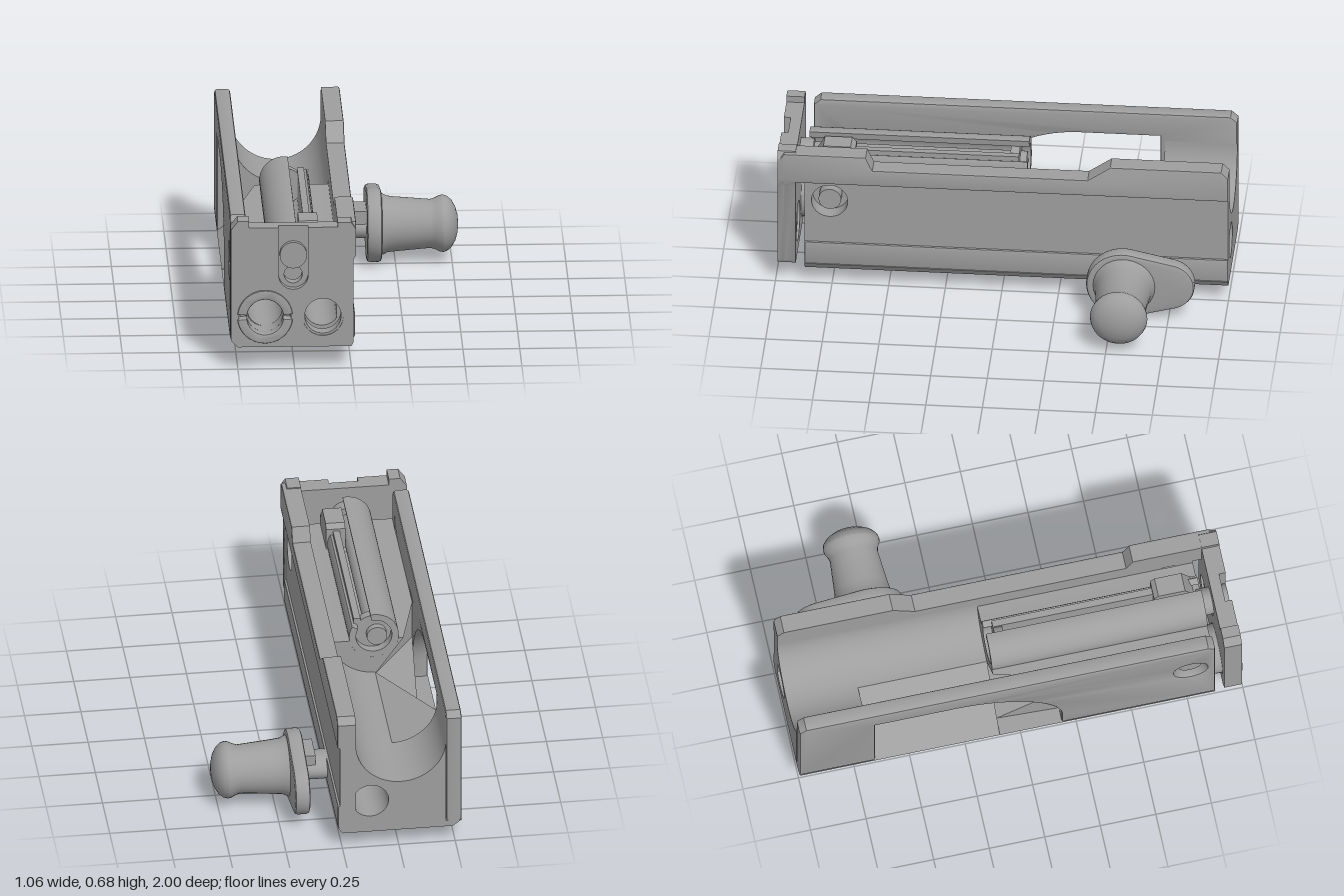
import * as THREE from 'three';
import { toCreasedNormals } from 'three/addons/utils/BufferGeometryUtils.js';

export function createModel() {
  const model = new THREE.Group();
  const grey = new THREE.MeshStandardMaterial({ color: 0x9e9e9e });
  grey.name = 'steel grey';

  const add = (name, geo) => {
    const mesh = new THREE.Mesh(toCreasedNormals(geo, 0.5), grey);
    mesh.name = name;
    model.add(mesh);
    return mesh;
  };
  const outline = (pts) => new THREE.Shape(pts.map((p) => new THREE.Vector2(p[0], p[1])));
  const circle = (x, y, r) => new THREE.Path().absarc(x, y, r, 0, Math.PI * 2, false);
  const extrude = (shape, from, to, bevel = 0) => {
    const geo = new THREE.ExtrudeGeometry(shape, {
      depth: to - from - 2 * bevel, curveSegments: 20, bevelEnabled: bevel > 0,
      bevelSize: bevel, bevelThickness: bevel, bevelOffset: -bevel, bevelSegments: 2,
    });
    return geo.translate(0, 0, from + bevel);
  };
  // section: drawn in x,y and run along z
  const section = (name, shape, z0, z1, bevel) => add(name, extrude(shape, z0, z1, bevel));
  // plate: drawn in z,y and given thickness along x
  const plate = (name, shape, x0, x1, bevel) =>
    add(name, extrude(shape, -x1, -x0, bevel).rotateY(-Math.PI / 2));
  const box = (name, x0, x1, y0, y1, z0, z1) => add(name,
    new THREE.BoxGeometry(x1 - x0, y1 - y0, z1 - z0)
      .translate((x0 + x1) / 2, (y0 + y1) / 2, (z0 + z1) / 2));
  const rod = (name, x, y, r, z0, z1) => add(name,
    new THREE.CylinderGeometry(r, r, z1 - z0, 32).rotateX(Math.PI / 2).translate(x, y, (z0 + z1) / 2));

  // Chamfered floor of the housing
  section('base', outline([[-0.49, 0.08], [0, 0.08], [0.02, 0.11], [-0.53, 0.11]]), -1, 0.87);

  // Rear trough
  const rear = outline([[-0.46, 0.11], [-0.06, 0.11], [-0.06, 0.53]]);
  rear.absarc(-0.26, 0.53, 0.2, 0, -Math.PI, true);
  rear.holes.push(circle(-0.125, 0.24, 0.08));
  section('rearTrough', rear, -1, -0.68);

  // Half trough with a ramp down to the side port
  const port = outline([[-0.53, 0.11], [-0.06, 0.11], [-0.06, 0.53]]);
  port.absarc(-0.26, 0.53, 0.2, 0, -Math.PI / 2, true);
  section('portRamp', port, -0.68, -0.1);

  // Cradle under the tube; the lower side sweeps in toward the port
  const cradle = (left) => {
    const s = outline([[left[2], 0.11], [-0.06, 0.11], [-0.06, 0.5], [-0.145, 0.5]]);
    s.absarc(-0.255, 0.52, 0.11, -0.18, -Math.PI + 0.18, true);
    s.lineTo(left[0], 0.5);
    s.lineTo(left[1], 0.32);
    return s;
  };
  const sweep = extrude(cradle([-0.385, -0.26, -0.45]), -0.1, 0.18);
  const pos = sweep.attributes.position;
  for (let i = 0; i < pos.count; i++) {
    const onLeft = pos.getX(i) < -0.37 || (pos.getX(i) < -0.25 && Math.abs(pos.getY(i) - 0.32) < 0.01);
    if (onLeft && pos.getZ(i) > 0) pos.setX(i, -0.46);
  }
  sweep.computeVertexNormals();
  add('portSweep', sweep);
  const front = cradle([-0.46, -0.46, -0.46]);
  front.holes.push(circle(-0.375, 0.24, 0.08), circle(-0.125, 0.24, 0.08));
  section('frontCradle', front, 0.18, 0.87);

  // Left-hand plate with the arched side port
  const portWall = outline([[-1, 0.11], [-0.66, 0.11], [-0.66, 0.55], [-0.3, 0.55]]);
  portWall.bezierCurveTo(-0.05, 0.55, 0.18, 0.38, 0.18, 0.2);
  [[0.18, 0.11], [0.87, 0.11], [0.87, 0.64], [0.84, 0.665], [-0.97, 0.665], [-1, 0.64]]
    .forEach((p) => portWall.lineTo(p[0], p[1]));
  portWall.holes.push(circle(0.76, 0.43, 0.075));
  plate('portWall', portWall, -0.53, -0.46, 0.012);

  // Handle-side wall with its lowered top edge
  const top = [[0.98, 0.64], [0.96, 0.665], [0.6, 0.665], [0.57, 0.6],
    [-0.38, 0.6], [-0.48, 0.67], [-0.97, 0.67], [-1, 0.64]];
  const handleWall = outline([[-1, 0.11], [0.87, 0.11], [0.87, 0.52], [0.98, 0.52], ...top]);
  handleWall.holes.push(circle(0.76, 0.43, 0.08));
  plate('handleWall', handleWall, -0.06, 0.01);
  plate('upperBand', outline([[-1, 0.52], [0.98, 0.52], ...top]), 0, 0.022, 0.008);
  plate('lowerBand', outline([[-1, 0.11], [0.87, 0.11], [0.87, 0.22], [-1, 0.22]]), 0, 0.02, 0.006);
  add('crossPin', new THREE.CylinderGeometry(0.05, 0.05, 0.5, 24)
    .rotateZ(Math.PI / 2).translate(-0.255, 0.43, 0.76));

  // End plate: a back layer, and a front layer with a vertical slot
  const edge = [[-0.53, 0.13], [-0.5, 0.1], [0, 0.1], [0.01, 0.12], [0.01, 0.5], [0.02, 0.52],
    [0.02, 0.64], [0, 0.67], [-0.06, 0.67], [-0.06, 0.65]];
  const corner = [[-0.45, 0.65], [-0.45, 0.68], [-0.5, 0.68], [-0.53, 0.64]];
  const bores = () => [circle(-0.38, 0.24, 0.115), circle(-0.125, 0.24, 0.09)];
  const backLayer = outline([...edge, ...corner]);
  backLayer.holes.push(...bores(), circle(-0.255, 0.425, 0.04));
  section('endPlateBack', backLayer, 0.91, 0.96);
  const frontLayer = outline([...edge, [-0.19, 0.65]]);
  frontLayer.absarc(-0.255, 0.43, 0.065, 0, -Math.PI, true);
  [[-0.32, 0.65], ...corner].forEach((p) => frontLayer.lineTo(p[0], p[1]));
  frontLayer.holes.push(...bores());
  section('endPlateFront', frontLayer, 0.96, 0.99);
  rod('endPin', -0.255, 0.52, 0.06, 0.85, 0.985);

  // Split collar and plain bushing in the end plate bores
  for (const start of [0.1, Math.PI + 0.1]) {
    const half = new THREE.Shape();
    half.absarc(-0.38, 0.24, 0.122, start, start + Math.PI - 0.2, false);
    half.absarc(-0.38, 0.24, 0.08, start + Math.PI - 0.2, start, true);
    section('splitCollar', half, 0.94, 1, 0.006);
  }
  const ring = (name, x, ro, ri, z0, z1) => {
    const s = new THREE.Shape().absarc(x, 0.24, ro, 0, Math.PI * 2, false);
    s.holes.push(circle(x, 0.24, ri));
    section(name, s, z0, z1);
  };
  ring('collarTube', -0.38, 0.11, 0.08, 0.86, 0.95);
  ring('bushing', -0.125, 0.091, 0.08, 0.92, 0.985);

  // Slotted tube with its inner parts
  const tube = new THREE.Shape();
  tube.absarc(-0.255, 0.52, 0.11, 1.43, 2 * Math.PI + 0.5, false);
  tube.absarc(-0.255, 0.52, 0.08, 2 * Math.PI + 0.5, 1.43, true);
  section('slottedTube', tube, -0.1, 0.87);
  rod('tubePlug', -0.255, 0.52, 0.08, -0.06, -0.02);
  rod('innerRod', -0.27, 0.51, 0.045, -0.09, 0.9);
  box('slideRail', -0.2, -0.17, 0.46, 0.59, -0.06, 0.68);
  plate('catch', outline([[0.66, 0.5], [0.87, 0.5], [0.87, 0.55], [0.84, 0.55], [0.8, 0.62], [0.68, 0.62], [0.66, 0.6]]),
    -0.225, -0.14);

  // Handle: oval shaft, stop block, cam flange and turned knob
  add('handleShaft', new THREE.CylinderGeometry(1, 1, 0.16, 20)
    .rotateZ(Math.PI / 2).scale(1, 0.057, 0.085).translate(0.05, 0.165, -0.555));
  box('stopBlock', 0.07, 0.13, 0.14, 0.25, -0.62, -0.48);
  const cam = new THREE.Shape();
  cam.absarc(-0.55, 0.165, 0.163, -Math.PI / 2 - 0.2, Math.PI / 2 + 0.2, false);
  cam.absarc(-0.75, 0.17, 0.115, Math.PI / 2 + 0.2, Math.PI * 1.5 - 0.2, false);
  plate('camFlange', cam, 0.122, 0.19, 0.015);
  const profile = [[0, 0.17], [0.14, 0.18], [0.135, 0.195], [0.125, 0.215], [0.121, 0.25], [0.108, 0.405],
    [0.114, 0.425], [0.124, 0.445], [0.127, 0.46], [0.122, 0.478], [0.105, 0.498],
    [0.075, 0.515], [0.04, 0.525], [0, 0.528]];
  add('knob', new THREE.LatheGeometry(profile.map((p) => new THREE.Vector2(p[0], p[1])), 32)
    .rotateZ(-Math.PI / 2).translate(0, 0.167, -0.555));

  return model;
}
